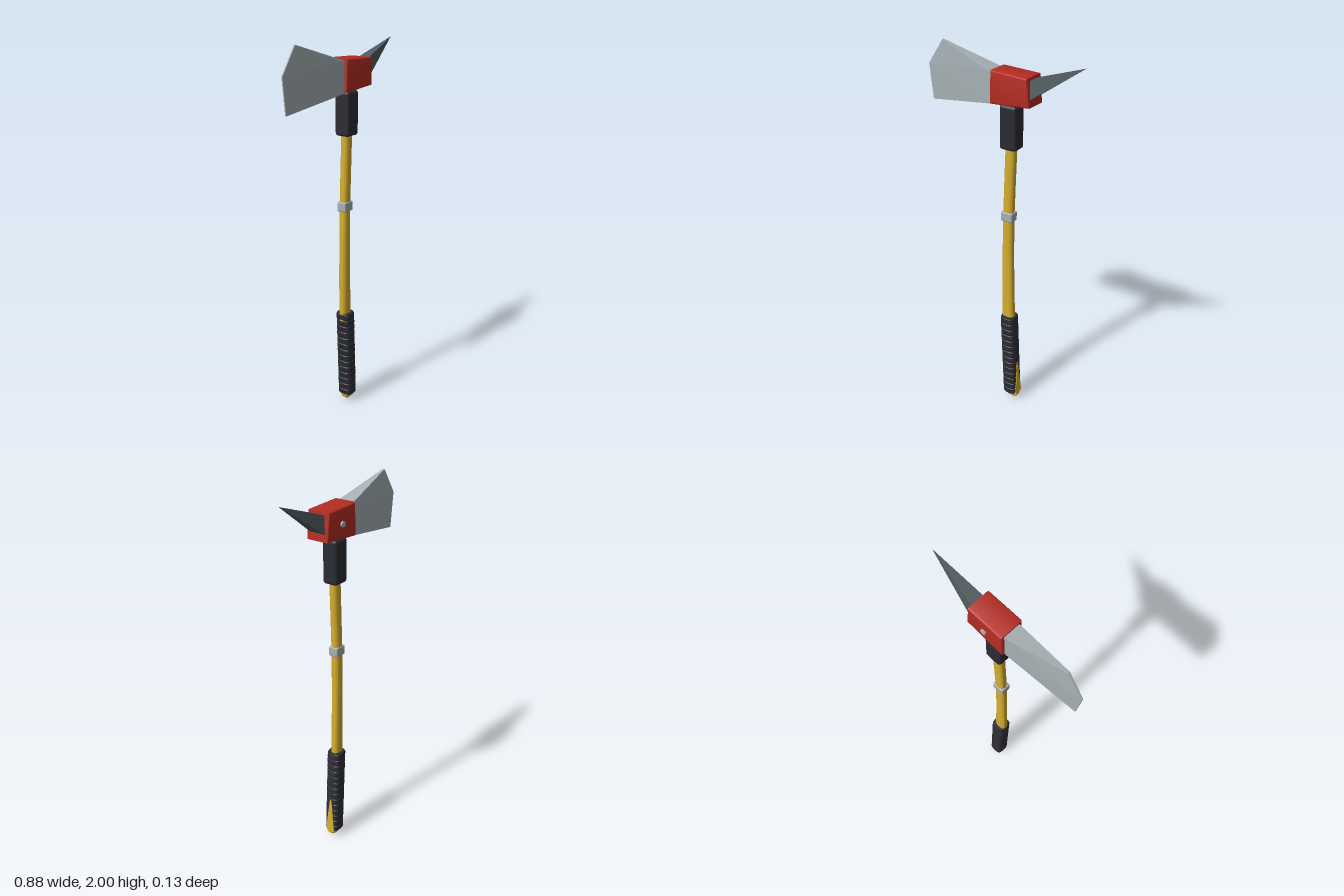
import * as THREE from 'three';
import { toCreasedNormals } from 'three/addons/utils/BufferGeometryUtils.js';
import { RoundedBoxGeometry } from 'three/addons/geometries/RoundedBoxGeometry.js';
import { ConvexGeometry } from 'three/addons/geometries/ConvexGeometry.js';

const mat = (name, color) => {
  const m = new THREE.MeshStandardMaterial({ color });
  m.name = name;
  return m;
};

// Closed upright loft; each section is [y, centreX, halfX, halfZ].
function loft(sections, power, sides = 24) {
  const pos = [], idx = [];
  const bend = (v) => Math.sign(v) * Math.pow(Math.abs(v), 2 / power);
  for (const [y, cx, hx, hz] of sections) {
    for (let j = 0; j < sides; j++) {
      const a = (j / sides) * Math.PI * 2;
      pos.push(cx + hx * bend(Math.cos(a)), y, hz * bend(Math.sin(a)));
    }
  }
  const last = sections.length - 1;
  const lowC = pos.length / 3, topC = lowC + 1;
  pos.push(sections[0][1], sections[0][0], 0, sections[last][1], sections[last][0], 0);
  for (let j = 0; j < sides; j++) {
    const k = (j + 1) % sides;
    for (let i = 0; i < last; i++) {
      const a = i * sides + j, b = i * sides + k;
      idx.push(a, a + sides, b, b, a + sides, b + sides);
    }
    idx.push(lowC, j, k, topC, last * sides + k, last * sides + j);
  }
  const g = new THREE.BufferGeometry();
  g.setAttribute('position', new THREE.Float32BufferAttribute(pos, 3));
  g.setIndex(idx);
  return toCreasedNormals(g, 0.6);
}

// Convex solid from [x, y, halfThickness] corners mirrored across z.
function wedge(corners) {
  const pts = [];
  for (const [x, y, z] of corners) pts.push(new THREE.Vector3(x, y, z), new THREE.Vector3(x, y, -z));
  return new ConvexGeometry(pts);
}

export function createModel() {
  const group = new THREE.Group();
  group.name = 'fireAxe';
  const steel = mat('brightSteel', 0xa6b0b4);
  const darkSteel = mat('darkSteel', 0x4f5a5e);
  const red = mat('redPaint', 0xb42c22);
  const yellow = mat('yellowShaft', 0xd6ae2e);
  const black = mat('blackRubber', 0x2b2c33);
  const add = (name, geometry, material, x = 0, y = 0, z = 0) => {
    const m = new THREE.Mesh(geometry, material);
    m.name = name;
    m.position.set(x, y, z);
    group.add(m);
    return m;
  };

  // Blade, thick at the head and thin at the cutting edge
  add('blade', wedge([
    [-0.02, 1.75, 0.049], [-0.02, 1.9, 0.045], [-0.06, 1.905, 0.042],
    [-0.35, 2.0, 0.005], [-0.44, 1.87, 0.003], [-0.42, 1.69, 0.003],
  ]), steel);

  // Pick spike
  add('spike', wedge([
    [0.165, 1.795, 0.046], [0.165, 1.888, 0.034], [0.435, 1.98, 0.001],
  ]), darkSteel);

  // Head block with bevelled rim
  const b = 0.008;
  const outline = new THREE.Shape([
    [-0.038 + b, 1.75 + b], [0.18 - b, 1.765 + b], [0.168 - b, 1.904 - b], [-0.034 + b, 1.912 - b],
  ].map(([x, y]) => new THREE.Vector2(x, y)));
  const head = new THREE.ExtrudeGeometry(outline, {
    depth: 0.124 - 2 * b, bevelEnabled: true, bevelSize: b, bevelThickness: b, bevelSegments: 3,
  });
  head.translate(0, 0, -0.062 + b);
  add('headBlock', toCreasedNormals(head, 0.6), red);

  // Bolt on the back of the head
  const bolt = new THREE.CylinderGeometry(0.015, 0.015, 0.012, 12);
  bolt.rotateX(Math.PI / 2);
  add('bolt', bolt, steel, 0.07, 1.832, -0.065);

  // Curved oval shaft
  add('shaft', loft([
    [0.5, 0.037, 0.036, 0.024], [0.7, 0.034, 0.034, 0.024], [0.9, 0.032, 0.031, 0.024],
    [1.15, 0.034, 0.029, 0.024], [1.35, 0.041, 0.029, 0.024], [1.53, 0.048, 0.029, 0.024],
    [1.72, 0.05, 0.03, 0.028], [1.77, 0.05, 0.03, 0.028],
  ], 2.4), yellow);

  // Collar under the head and band round the shaft
  add('collar', new RoundedBoxGeometry(0.094, 0.226, 0.084, 3, 0.016), black, 0.048, 1.637, 0);
  add('shaftBand', new RoundedBoxGeometry(0.068, 0.052, 0.054, 2, 0.007), steel, 0.034, 1.155, 0);

  // Ribbed grip leaning along the handle
  const rings = 14, y0 = 0.045, y1 = 0.55, pitch = (y1 - y0) / rings;
  const gripX = (y) => 0.04 + 0.022 * (y1 - y) / (y1 - y0);
  const ribs = [];
  for (let i = 0; i < rings; i++) {
    for (const [t, s] of [[0, 0.94], [0.1, 1], [0.8, 1], [0.9, 0.94]]) {
      const y = y0 + (i + t) * pitch;
      ribs.push([y, gripX(y), 0.041 * s, 0.042 * s]);
    }
  }
  ribs.push([y1, gripX(y1), 0.038, 0.039]);
  add('grip', loft(ribs, 3.5), black);

  // Yellow tongue showing through the grip on its left side
  const tongueShape = new THREE.Shape();
  tongueShape.moveTo(-0.027, 0);
  tongueShape.lineTo(0.027, 0);
  tongueShape.lineTo(0.012, 0.14);
  tongueShape.quadraticCurveTo(0, 0.27, -0.012, 0.14);
  const tongueGeo = new THREE.ExtrudeGeometry(tongueShape, { depth: 0.008, bevelEnabled: false });
  tongueGeo.rotateY(Math.PI / 2);
  add('gripTongue', tongueGeo, yellow, 0.0975, 0.045, 0).rotation.z = 0.044;

  // Butt of the handle and its lanyard loop
  add('butt', loft([
    [0.022, 0.066, 0.035, 0.023], [0.03, 0.066, 0.04, 0.028], [0.07, 0.064, 0.039, 0.028],
  ], 3), yellow);
  add('lanyardLoop', new THREE.TorusGeometry(0.02, 0.005, 8, 24), darkSteel, 0.067, 0.025, 0);

  return group;
}
